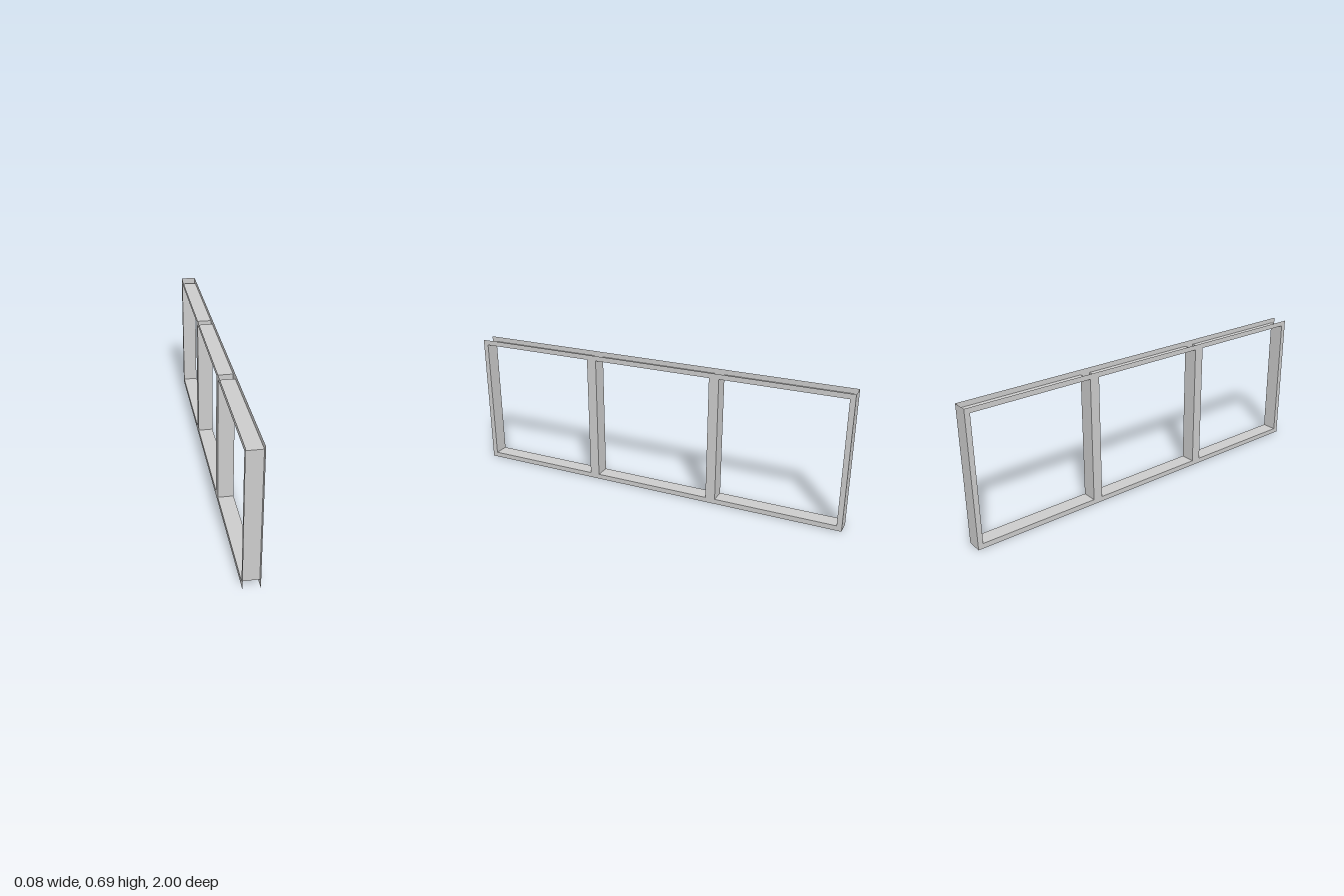
import * as THREE from 'three';

const H = 0.69, HALF_X = 0.039, HALF_Z = 1;   // overall frame
const BORDER = 0.0255, GAP = 0.05, COUNT = 3; // rim, mullion width, openings
const OPEN_W = (2 * HALF_Z - 2 * BORDER - (COUNT - 1) * GAP) / COUNT;
const OPEN_H = H - 2 * BORDER;

const material = new THREE.MeshStandardMaterial({ color: 0xcccccc, side: THREE.DoubleSide });

function addMesh(parent, name, geometry) {
  const mesh = new THREE.Mesh(geometry, material);
  mesh.name = name;
  parent.add(mesh);
  return mesh;
}

function rectangle(path, x, y, w, h) {
  path.moveTo(x, y);
  path.lineTo(x + w, y);
  path.lineTo(x + w, y + h);
  path.lineTo(x, y + h);
  path.closePath();
  return path;
}

export function createModel() {
  const model = new THREE.Group();
  model.name = 'windowFrame';
  const starts = Array.from({ length: COUNT }, (_, i) => -HALF_Z + BORDER + i * (OPEN_W + GAP));

  // Two thin face sheets, each pierced by the openings
  const face = rectangle(new THREE.Shape(), -HALF_Z, 0, 2 * HALF_Z, H);
  for (const z of starts) face.holes.push(rectangle(new THREE.Path(), z, BORDER, OPEN_W, OPEN_H));
  for (const [name, s] of [['leftFace', 1], ['rightFace', -1]]) {
    const geometry = new THREE.ShapeGeometry(face).rotateY(s * Math.PI / 2);
    addMesh(model, name, geometry).position.x = s * HALF_X;
  }

  // Lining of each opening: sill, head and two jambs joining the faces
  starts.forEach((z, i) => {
    const lining = new THREE.Group();
    lining.name = `openingLining${i + 1}`;
    lining.position.set(0, H / 2, z + OPEN_W / 2);
    for (const s of [-1, 1]) {
      const flat = new THREE.PlaneGeometry(2 * HALF_X, OPEN_W).rotateX(s * Math.PI / 2);
      addMesh(lining, s < 0 ? 'sill' : 'head', flat).position.y = s * OPEN_H / 2;
      const upright = new THREE.PlaneGeometry(2 * HALF_X, OPEN_H);
      if (s > 0) upright.rotateY(Math.PI);
      addMesh(lining, s < 0 ? 'backJamb' : 'frontJamb', upright).position.z = s * OPEN_W / 2;
    }
    model.add(lining);
  });

  // Cap closing the back end only; the other edges stay open
  const cap = new THREE.PlaneGeometry(2 * HALF_X, H).rotateY(Math.PI);
  addMesh(model, 'backEndCap', cap).position.set(0, H / 2, -HALF_Z);

  return model;
}
